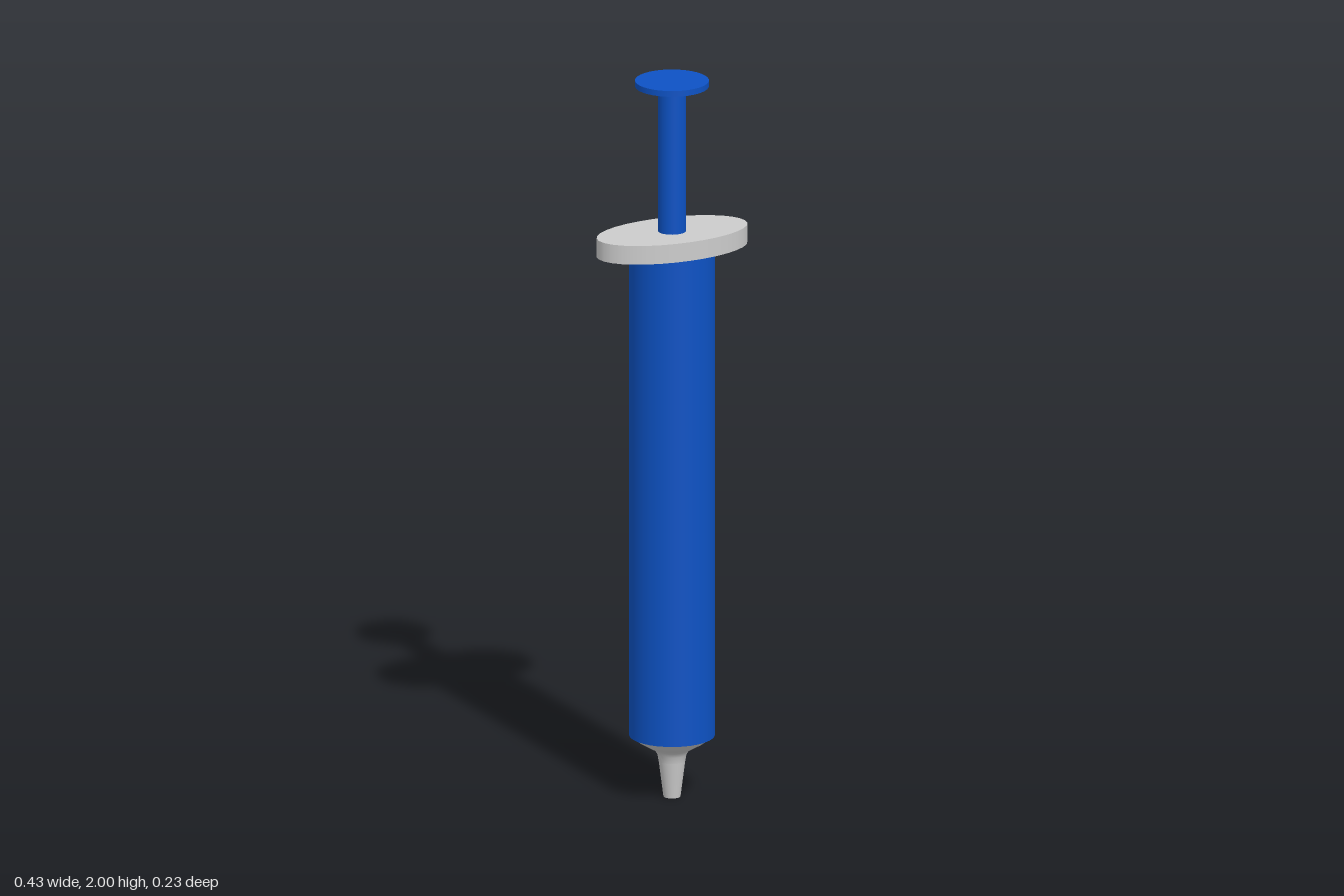
import * as THREE from 'three';

const SIDES = 32;

export function createModel() {
  const model = new THREE.Group();
  const blue = new THREE.MeshStandardMaterial({ color: 0x0d52c4 });
  const grey = new THREE.MeshStandardMaterial({ color: 0xcccccc });

  const add = (name, geometry, material, y = 0) => {
    const mesh = new THREE.Mesh(geometry, material);
    mesh.name = name;
    mesh.position.y = y;
    model.add(mesh);
    return mesh;
  };
  // Upright cylinder given by its radius and its bottom and top heights
  const disc = (name, radius, bottom, top, material) =>
    add(name, new THREE.CylinderGeometry(radius, radius, top - bottom, SIDES), material, (bottom + top) / 2);

  // Barrel and plunger
  disc('barrel', 0.115, 0.172, 1.53, blue);
  disc('plungerRod', 0.038, 1.5, 1.99, blue);
  disc('thumbPlate', 0.099, 1.984, 2, blue);

  // Oval finger flange
  const flange = disc('fingerFlange', 0.117, 1.528, 1.58, grey);
  flange.scale.x = 0.217 / 0.117;

  // Shoulder flaring down to the neck
  const shoulder = [[0.036, 0.1], [0.039, 0.118], [0.047, 0.131], [0.066, 0.142], [0.088, 0.155], [0.115, 0.174]]
    .map(([r, y]) => new THREE.Vector2(r, y));
  add('shoulder', new THREE.LatheGeometry(shoulder, SIDES), grey);

  // Tapered nozzle
  add('nozzle', new THREE.CylinderGeometry(0.036, 0.023, 0.102, SIDES), grey, 0.051);

  return model;
}
